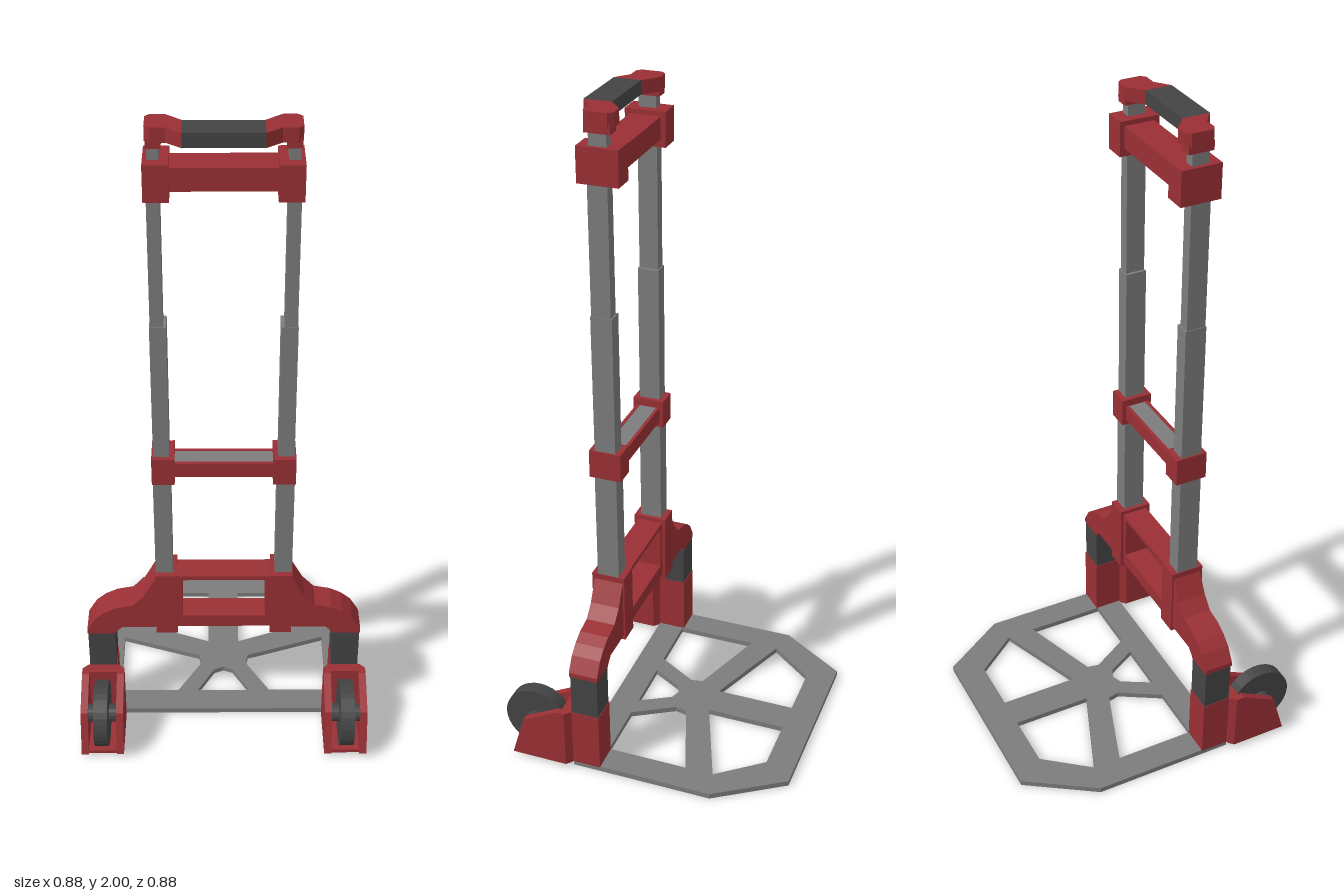
import * as THREE from 'three';

const mat = (color) => new THREE.MeshStandardMaterial({ color, flatShading: true });
const RED = mat(0x9a3035), GREY = mat(0x7c7c7c), DARK = mat(0x444444);

export function createModel() {
  const root = new THREE.Group();

  const add = (name, geo, material) => {
    const mesh = new THREE.Mesh(geo, material);
    mesh.name = name;
    root.add(mesh);
    return mesh;
  };
  // box from [min, max] ranges
  const box = (name, m, [x0, x1], [y0, y1], [z0, z1]) =>
    add(name, new THREE.BoxGeometry(Math.abs(x1 - x0), y1 - y0, z1 - z0)
      .translate((x0 + x1) / 2, (y0 + y1) / 2, (z0 + z1) / 2), m);
  const poly = (pts) => pts.map(([a, b]) => new THREE.Vector2(a, b));
  const extrude = (pts, depth, holes = []) => {
    const shape = new THREE.Shape(poly(pts));
    holes.forEach((h) => shape.holes.push(new THREE.Path(poly(h))));
    return new THREE.ExtrudeGeometry(shape, { depth, bevelEnabled: false });
  };
  // floor plan given as (x, z), raised from y0 to y1
  const plan = (name, m, pts, y0, y1, holes = []) => {
    const flip = (list) => list.map(([x, z]) => [x, -z]);
    return add(name, extrude(flip(pts), y1 - y0, holes.map(flip))
      .rotateX(-Math.PI / 2).translate(0, y0, 0), m);
  };
  // side profile given as (z, y), centred on x
  const profile = (name, m, pts, x, width) =>
    add(name, extrude(pts, width).rotateY(-Math.PI / 2).translate(x + width / 2, 0, 0), m);
  const mirror = (pts) => pts.map(([x, z]) => [-x, z]);

  // Base plate with cut-outs
  const half = [[0.415, 0.208], [0.415, -0.232], [0.28, -0.438]];
  const outline = [...half, ...mirror(half).reverse()];
  const backHole = [[0.05, -0.35], [0.222, -0.35], [0.33, -0.213], [0.05, -0.104]];
  const sideHole = [[0.33, -0.125], [0.08, -0.037], [0.073, 0], [0.146, 0.125], [0.33, 0.125]];
  const frontHole = [[0, 0.018], [0.03, 0.03], [0.083, 0.125], [-0.083, 0.125], [-0.03, 0.03]];
  plan('basePlate', GREY, outline, 0.005, 0.022,
    [backHole, mirror(backHole), sideHole, mirror(sideHole), frontHole]);

  for (const s of [1, -1]) {
    const xs = (a, b) => [s * a, s * b];

    // Leg and its lower sleeve
    box('leg', DARK, xs(0.333, 0.415), [0.2, 0.36], [0.122, 0.207]);
    box('legSleeve', RED, xs(0.331, 0.417), [0.02, 0.21], [0.12, 0.21]);

    // Wheel housing: back block, floor and two cheeks
    const wx = 0.373;
    plan('wheelHousingBack', RED,
      [[0.325, 0.208], [0.421, 0.208], [0.438, 0.224], [0.438, 0.24], [0.308, 0.24], [0.308, 0.224]]
        .map(([x, z]) => [s * x, z]), 0.02, 0.213);
    box('wheelHousingFloor', RED, xs(0.31, 0.436), [0.02, 0.032], [0.235, 0.395]);
    for (const side of [-1, 1]) {
      profile('wheelHousingCheek', RED,
        [[0.235, 0.02], [0.4, 0.02], [0.36, 0.155], [0.25, 0.213], [0.235, 0.213]],
        s * (wx + side * 0.054), 0.022);
    }

    // Wheel and hub
    const wheel = (name, r, w, n) => add(name,
      new THREE.CylinderGeometry(r, r, w, n).rotateZ(Math.PI / 2).translate(s * wx, 0.135, 0.337), DARK);
    wheel('wheel', 0.1, 0.042, 32);
    wheel('wheelHub', 0.027, 0.108, 16);

    // Curved shoulder joining leg to post
    add('shoulder', extrude([
      [0.417, 0.345], [0.417, 0.36], [0.39, 0.405], [0.36, 0.43], [0.325, 0.447], [0.275, 0.457],
      [0.24, 0.495], [0.205, 0.56], [0.15, 0.56], [0.15, 0.37], [0.31, 0.37], [0.331, 0.35], [0.331, 0.345],
    ].map(([x, y]) => [s * x, y]), 0.09).translate(0, 0, 0.12), RED);
    box('postSocket', RED, xs(0.14, 0.205), [0.355, 0.578], [0.115, 0.218]);
    box('windowSide', RED, xs(0.125, 0.145), [0.37, 0.565], [0.125, 0.205]);

    // Telescoping post, each stage narrower
    box('postLower', GREY, xs(0.152, 0.203), [0.5, 0.97], [0.133, 0.2]);
    box('postMiddle', GREY, xs(0.154, 0.2), [0.95, 1.425], [0.135, 0.199]);
    box('postUpper', GREY, xs(0.163, 0.198), [1.42, 1.85], [0.139, 0.197]);
    box('handlePost', GREY, xs(0.163, 0.193), [1.85, 1.96], [0.141, 0.192]);

    // Post collars
    box('middleCollar', RED, xs(0.14, 0.205), [0.915, 1.002], [0.118, 0.215]);
    box('upperCollar', RED, xs(0.138, 0.205), [1.805, 1.907], [0.104, 0.224]);

    // Handle end, bent forward to the grip
    plan('handleEnd', RED,
      [[0.103, 0.16], [0.148, 0.122], [0.185, 0.122], [0.198, 0.135], [0.198, 0.195],
        [0.185, 0.207], [0.145, 0.207], [0.103, 0.24]].map(([x, z]) => [s * x, z]), 1.96, 2);
    box('handleCap', RED, xs(0.157, 0.196), [1.942, 1.97], [0.128, 0.203]);
  }

  // Lower window rails
  box('windowBottomRail', RED, [-0.145, 0.145], [0.37, 0.412], [0.125, 0.205]);
  box('windowTopRail', RED, [-0.145, 0.145], [0.552, 0.566], [0.125, 0.205]);

  // Middle crossbar: grey core between red faces
  box('middleBarCore', GREY, [-0.145, 0.145], [0.936, 0.979], [0.14, 0.194]);
  for (const z of [0.13, 0.194]) {
    box('middleBarFace', RED, [-0.145, 0.145], [0.934, 0.981], [z, z + 0.01]);
  }

  // Upper crossbar and hand grip
  box('upperCrossbar', RED, [-0.145, 0.145], [1.828, 1.893], [0.118, 0.208]);
  box('handGrip', DARK, [-0.104, 0.104], [1.961, 2], [0.16, 0.24]);

  return root;
}
